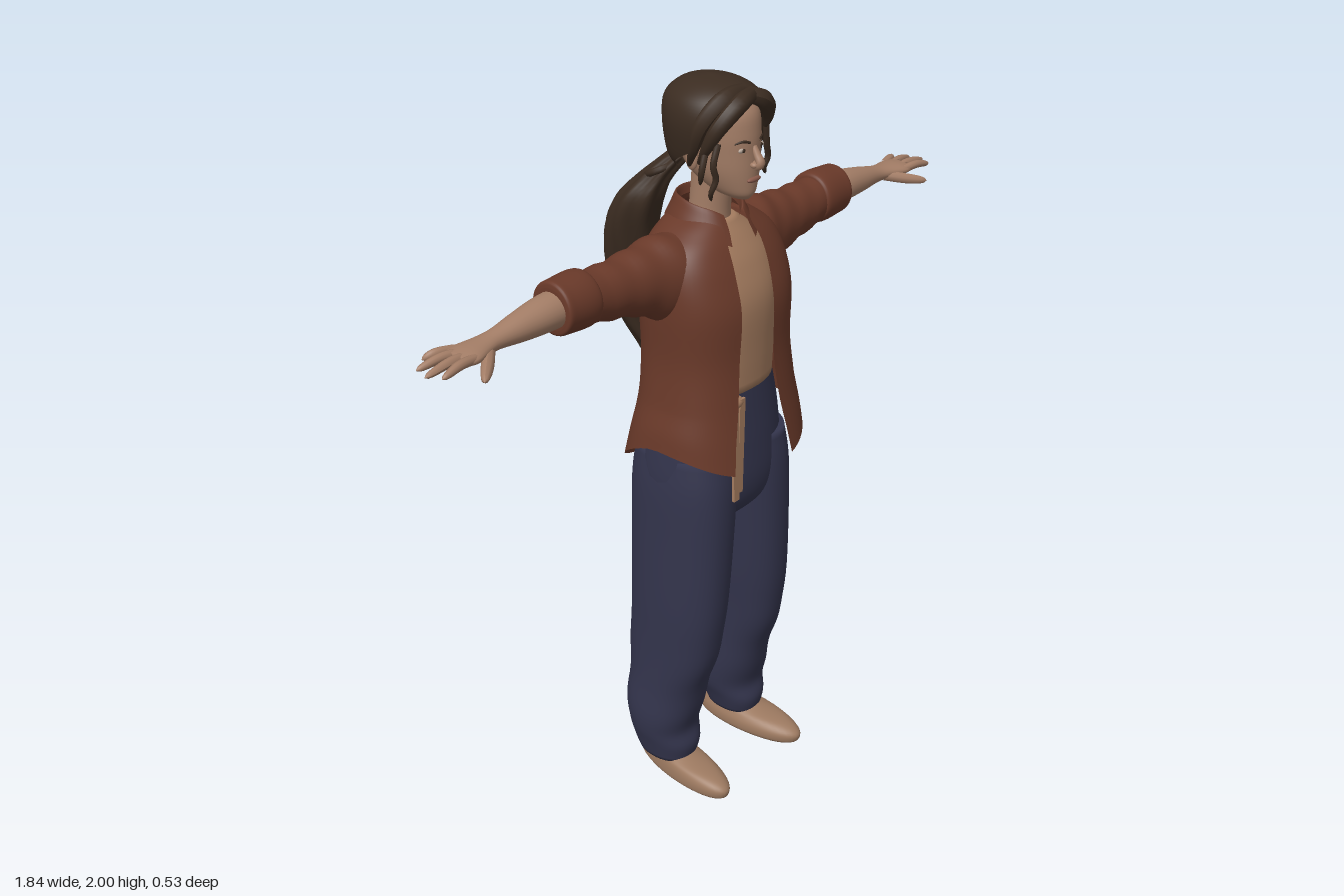
import * as THREE from 'three';
import { mergeVertices } from 'three/addons/utils/BufferGeometryUtils.js';

const TAU = Math.PI * 2;
const paint = (name, color, side = THREE.FrontSide) => {
  const m = new THREE.MeshStandardMaterial({ color, side });
  m.name = name;
  return m;
};

// Smooth body through cross-sections [t, c1, c2, r1, r2, startAngle, endAngle] along y or x.
function loft(rows, { axis = 'y', seg = 40, steps = 5, pow = 1, cap = true, bend } = {}) {
  const full = rows.map(r => (r.length > 5 ? r : [...r, 0, TAU]));
  const curve = new THREE.CubicInterpolant(full.map((_, i) => i), full.flat(), 7);
  const n = (rows.length - 1) * steps;
  const rings = [];
  for (let i = 0; i <= n; i++) rings.push([...curve.evaluate(i / steps)]);
  if (cap) {
    const flat = r => [r[0], r[1], r[2], 0, 0, r[5], r[6]];
    rings.unshift(flat(rings[0]));
    rings.push(flat(rings[rings.length - 1]));
  }
  const round = v => Math.sign(v) * Math.abs(v) ** pow;
  const pos = [], index = [];
  rings.forEach(([t, c1, c2, r1, r2, a0, a1], i) => {
    for (let j = 0; j <= seg; j++) {
      const a = a0 + (a1 - a0) * j / seg;
      const s = round(Math.sin(a)), c = round(Math.cos(a));
      const u = Math.max(r1, 0), v = Math.max(r2, 0);
      const p = axis === 'y' ? new THREE.Vector3(c1 + u * s, t, c2 + v * c)
        : new THREE.Vector3(t, c1 + u * c, c2 + v * s);
      if (bend) bend(p, a);
      pos.push(p.x, p.y, p.z);
      if (i && j) {
        const d = i * (seg + 1) + j, b = d - seg - 1;
        index.push(b - 1, b, d, b - 1, d, d - 1);
      }
    }
  });
  let g = new THREE.BufferGeometry();
  g.setAttribute('position', new THREE.Float32BufferAttribute(pos, 3));
  g.setIndex(index);
  g = mergeVertices(g, 1e-5);
  g.computeVertexNormals();
  return g;
}

// Tube along points whose thickness follows taper(t).
function strand(points, r, taper = t => Math.sqrt(Math.max(0, 1 - t ** 4)), n = 14, sides = 10) {
  const path = new THREE.CatmullRomCurve3(points.map(p => new THREE.Vector3(...p)));
  const g = new THREE.TubeGeometry(path, n, r, sides);
  const p = g.attributes.position, v = new THREE.Vector3();
  for (let i = 0; i < p.count; i++) {
    const t = Math.floor(i / (sides + 1)) / n, c = path.getPointAt(t);
    v.fromBufferAttribute(p, i).sub(c).multiplyScalar(taper(t)).add(c);
    p.setXYZ(i, v.x, v.y, v.z);
  }
  g.computeVertexNormals();
  return g;
}

function ball(x, y, z, rx, ry, rz) {
  return new THREE.SphereGeometry(1, 20, 14).scale(rx, ry, rz).translate(x, y, z);
}

function mirrored(geo) {
  const g = geo.clone().scale(-1, 1, 1), id = g.index.array;
  for (let i = 0; i < id.length; i += 3) [id[i], id[i + 1]] = [id[i + 1], id[i]];
  g.computeVertexNormals();
  return g;
}

export function createModel() {
  const model = new THREE.Group();
  const skin = paint('skin', 0xa37d66), cloth = paint('top cloth', 0xa67d60);
  const jacket = paint('jacket brown', 0x693929, THREE.DoubleSide);
  const denim = paint('trouser blue', 0x33344c), hair = paint('hair brown', 0x3b2c21, THREE.DoubleSide);
  const shoe = paint('shoe tan', 0x9c7960), lip = paint('lip', 0x87594a), white = paint('eye white', 0xb9a99c);
  const add = (name, geo, mat) => {
    const m = new THREE.Mesh(geo, mat);
    m.name = name;
    model.add(m);
    return m;
  };
  const pair = (name, geo, mat) => {
    add(name + 'Left', geo, mat);
    add(name + 'Right', mirrored(geo), mat);
  };

  // Trousers
  pair('trouserLeg', loft([[.06, .147, .025, .066, .08], [.11, .145, .02, .08, .1], [.16, .142, .008, .095, .1],
    [.22, .14, .01, .1, .107], [.32, .135, .024, .094, .12], [.45, .132, .043, .091, .14], [.6, .126, .054, .096, .148],
    [.8, .116, .056, .1, .153], [.95, .108, .056, .104, .152], [1.05, .1, .055, .1, .14]],
    { pow: .9, bend: (p, a) => { p.z += .005 * Math.sin(p.y * 34 + a) * Math.max(0, 1 - p.y * 1.6); } }), denim);
  add('trouserSeat', loft([[.82, 0, .055, .09, .08], [.88, 0, .055, .17, .135], [.95, 0, .055, .207, .152],
    [1.05, 0, .055, .205, .148], [1.14, 0, .06, .19, .135], [1.23, 0, .065, .165, .122]], { pow: .9 }), denim);

  // Shoes
  pair('shoe', loft([[0, .145, .085, .052, .163], [.012, .145, .087, .06, .173], [.035, .145, .087, .06, .172],
    [.055, .147, .07, .054, .145], [.072, .148, .03, .045, .08], [.1, .148, .01, .04, .05]],
    { bend: p => { p.x += .09 * (p.z - .08); } }), shoe);

  // Top and tie belt
  add('top', loft([[1.215, 0, .068, .165, .122], [1.32, 0, .07, .165, .125], [1.45, 0, .07, .172, .128],
    [1.54, 0, .06, .165, .112], [1.6, 0, .05, .125, .09], [1.65, 0, .045, .06, .06]], { pow: .9 }), cloth);
  for (const [x, len, tilt] of [[-.088, .29, .03], [-.068, .27, -.02]]) {
    const s = add('beltEnd', new THREE.BoxGeometry(.02, len, .008), cloth);
    s.position.set(x, 1.22 - len / 2, .212);
    s.rotation.z = tilt;
  }
  add('beltKnot', ball(-.082, 1.21, .2, .03, .017, .02), cloth);

  // Open jacket: dipped tail, raised side hem
  add('jacketBody', loft([[1.02, 0, .065, .235, .205, .26, TAU - .5], [1.1, 0, .07, .228, .186, .22, TAU - .46],
    [1.2, 0, .075, .212, .165, .165, TAU - .4], [1.32, 0, .07, .2, .157, .13, TAU - .35],
    [1.45, 0, .068, .205, .156, .13, TAU - .3], [1.54, 0, .06, .2, .137, .18, TAU - .28],
    [1.6, 0, .05, .178, .118, .23, TAU - .28], [1.64, 0, .045, .13, .097, .3, TAU - .34],
    [1.67, 0, .045, .078, .075, .6, TAU - .6]], {
    seg: 64, pow: .8, cap: false,
    bend: (p, a) => {
      const h = .07 * Math.sin(a) ** 2 - .08 * Math.max(0, -Math.cos(a));
      p.y += h * Math.max(0, (1.2 - p.y) / .18);
    } }), jacket);
  add('collar', loft([[1.645, 0, .05, .108, .118, .42, TAU - .42], [1.68, 0, .048, .09, .1, .42, TAU - .42],
    [1.705, 0, .045, .076, .085, .48, TAU - .48], [1.68, 0, .045, .07, .078, .5, TAU - .5]],
    { cap: false, bend: (p, a) => { p.y -= .2 * Math.max(0, p.z - .02) + .025 * Math.max(0, Math.cos(a)) ** 6; } }), jacket);
  pair('sleeve', loft([[.1, 1.53, .045, .1, .09], [.15, 1.535, .042, .106, .092], [.2, 1.535, .036, .104, .084],
    [.26, 1.544, .032, .084, .074], [.34, 1.55, .03, .07, .066], [.44, 1.56, .03, .062, .06]],
    { axis: 'x', bend: (p, a) => { p.y += .003 * Math.sin(p.x * 75 + a); } }), jacket);
  pair('sleeveCuff', loft([[.42, 1.565, .03, .05, .05], [.425, 1.565, .03, .066, .065], [.45, 1.565, .03, .071, .069],
    [.5, 1.566, .031, .068, .066], [.525, 1.567, .032, .065, .063], [.53, 1.567, .032, .05, .05]], { axis: 'x' }), jacket);

  // Arms and hands
  pair('forearm', loft([[.45, 1.567, .032, .044, .046], [.55, 1.566, .034, .043, .046], [.63, 1.562, .036, .035, .037],
    [.7, 1.558, .037, .024, .028], [.74, 1.556, .038, .02, .033], [.79, 1.555, .042, .018, .046],
    [.825, 1.555, .042, .013, .044]], { axis: 'x', seg: 24 }), skin);
  const fingers = [[.006, -.016, .868], [.029, .015, .91], [.052, .055, .92], [.074, .088, .9]];
  for (const [z0, z1, tip] of fingers)
    pair('finger', strand([[.795, 1.556, z0], [.845, 1.56, (z0 + z1) / 2], [tip, 1.55, z1]], .0115), skin);
  pair('thumb', strand([[.735, 1.55, .05], [.775, 1.54, .09], [.825, 1.53, .135]], .015), skin);

  // Head and face
  add('neck', loft([[1.58, 0, .04, .075, .065], [1.65, 0, .045, .053, .054], [1.72, 0, .052, .049, .053],
    [1.8, 0, .06, .05, .055]]), skin);
  add('head', loft([[1.716, 0, .138, .018, .03], [1.73, 0, .122, .04, .058], [1.755, 0, .1, .058, .084],
    [1.79, 0, .083, .073, .103], [1.83, 0, .076, .08, .11], [1.88, 0, .072, .084, .114], [1.93, 0, .07, .08, .106],
    [1.97, 0, .065, .05, .07]]), skin);
  add('nose', strand([[0, 1.85, .182], [0, 1.83, .193], [0, 1.812, .203], [0, 1.803, .19]], .013,
    t => .55 + .5 * t), skin);
  pair('nostril', ball(.01, 1.807, .191, .008, .007, .01), skin);
  add('lips', ball(0, 1.769, .184, .024, .007, .008), lip);
  pair('eye', ball(.032, 1.845, .174, .014, .006, .005), white);
  pair('iris', ball(.032, 1.845, .178, .005, .005, .003), hair);
  pair('brow', strand([[.016, 1.862, .184], [.034, 1.867, .178], [.052, 1.861, .165]], .0032), hair);
  pair('ear', ball(.083, 1.815, .062, .01, .03, .018), skin);

  // Hair cap, swept locks and loose strands
  add('hairCap', loft([[1.765, 0, .025, .06, .062, 2.1, TAU - 2.1], [1.8, 0, .043, .09, .104, 1.85, TAU - 1.85],
    [1.85, 0, .054, .107, .124, 1.2, TAU - 1.2], [1.9, 0, .058, .115, .13, .85, TAU - .85],
    [1.94, 0, .058, .109, .128, .35, TAU - .35], [1.968, 0, .058, .09, .108, 0, TAU],
    [1.99, 0, .055, .052, .065, 0, TAU], [2, 0, .055, 0, 0, 0, TAU]], { seg: 56, cap: false }), hair);
  const swell = t => .25 + .75 * Math.sin(Math.PI * Math.min(1, .25 + .75 * t)) * (1 - .2 * t);
  const locks = [
    [[.02, 1.965, .155], [-.045, 1.955, .17], [-.092, 1.905, .15], [-.1, 1.85, .12], [-.088, 1.81, .09]],
    [[.01, 1.97, .14], [-.06, 1.965, .14], [-.108, 1.91, .115], [-.108, 1.85, .09], [-.09, 1.8, .06]],
    [[.01, 1.965, .155], [.045, 1.95, .168], [.086, 1.905, .148], [.096, 1.86, .12], [.088, 1.82, .085]]];
  for (const l of locks) add('sweptLock', strand(l, .024, swell, 24), hair);
  const loose = [
    [[-.092, 1.87, .15], [-.108, 1.82, .15], [-.098, 1.785, .15], [-.105, 1.75, .14], [-.09, 1.725, .13]],
    [[.09, 1.87, .145], [.1, 1.82, .14], [.112, 1.785, .135], [.105, 1.76, .13], [.122, 1.735, .12]],
    [[-.1, 1.85, .12], [-.115, 1.8, .12], [-.108, 1.765, .11]],
    [[.098, 1.85, .12], [.108, 1.81, .11], [.1, 1.77, .11]]];
  for (const l of loose) add('looseStrand', strand(l, .008), hair);

  // Long ponytail swinging across the back
  add('ponytail', loft([[1, .095, -.172, .004, .006], [1.06, .088, -.158, .024, .024], [1.13, .07, -.155, .04, .042],
    [1.22, .042, -.168, .054, .055], [1.32, .005, -.192, .062, .068], [1.45, -.03, -.186, .066, .072],
    [1.58, -.06, -.16, .064, .066], [1.67, -.068, -.122, .055, .058], [1.73, -.05, -.085, .038, .042],
    [1.79, -.015, -.035, .03, .03]], {
    bend: (p, a) => {
      const w = .0045 * Math.sin(a * 6 + p.y * 18);
      p.x += w * Math.sin(a);
      p.z += w * Math.cos(a);
    } }), hair);
  add('hairTie', new THREE.TorusGeometry(.036, .009, 10, 24).rotateX(1.1).translate(-.043, 1.745, -.074), hair);

  return model;
}
